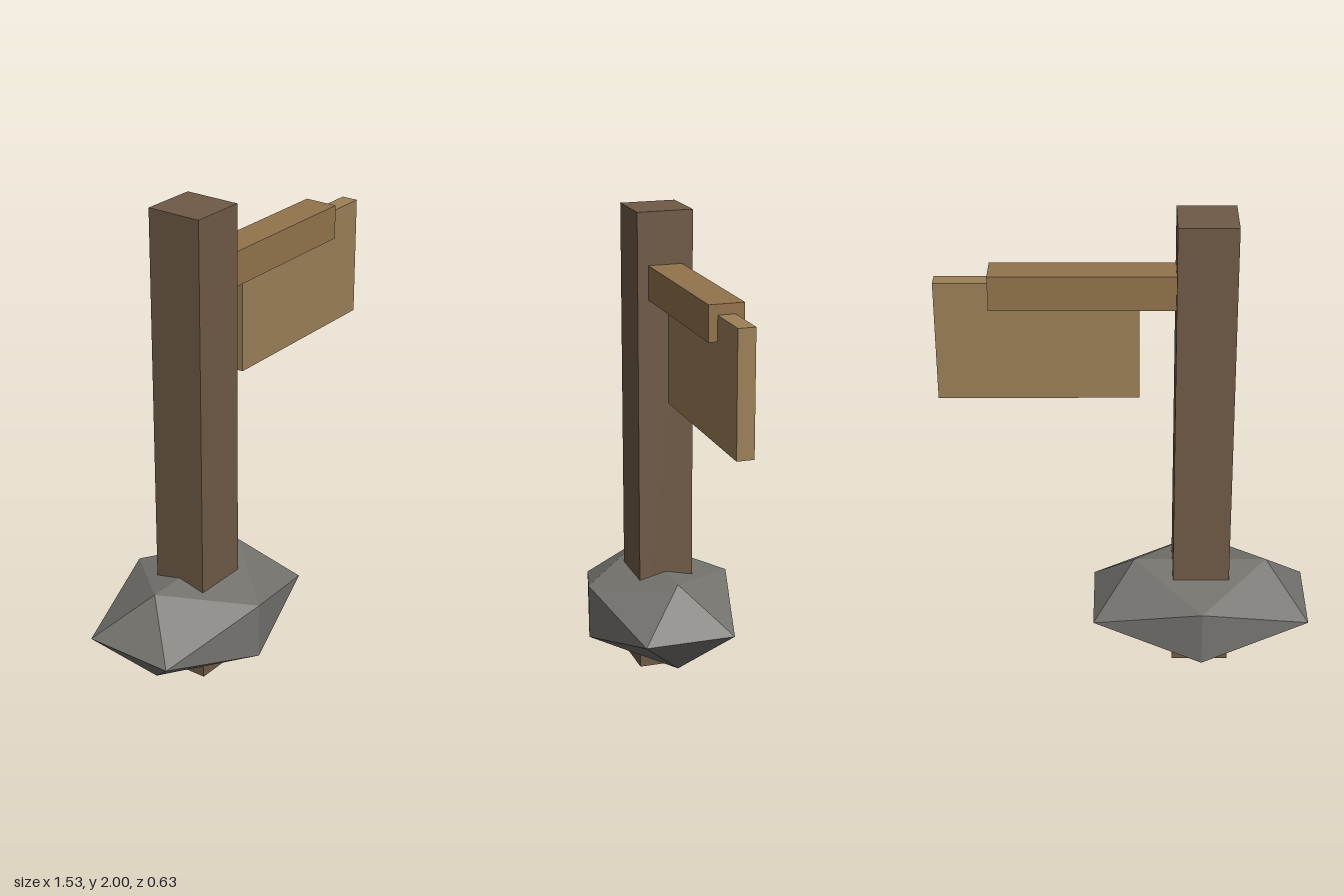
import * as THREE from 'three';

export function createModel() {
  const model = new THREE.Group();
  model.name = 'signpost';

  const add = (name, geometry, color, x, y, z = 0) => {
    const mesh = new THREE.Mesh(geometry, new THREE.MeshStandardMaterial({ color, flatShading: true }));
    mesh.name = name;
    mesh.position.set(x, y, z);
    model.add(mesh);
    return mesh;
  };

  // Upright square post, running right through the stone
  add('post', new THREE.BoxGeometry(0.237, 2, 0.237), 0x6f5a47, -0.31, 1);

  // Arm, let into the post almost to its far face
  add('arm', new THREE.BoxGeometry(0.971, 0.144, 0.144), 0x92734c, 0.0615, 1.707);

  // Thin sign board hanging from the arm
  add('signBoard', new THREE.BoxGeometry(0.811, 0.504, 0.071), 0x9c8058, 0.3575, 1.485);

  // Faceted base stone, a squashed icosahedron
  add('baseStone', new THREE.IcosahedronGeometry(1, 0).scale(0.535, 0.228, 0.371), 0x75736e, -0.31, 0.24);

  return model;
}
